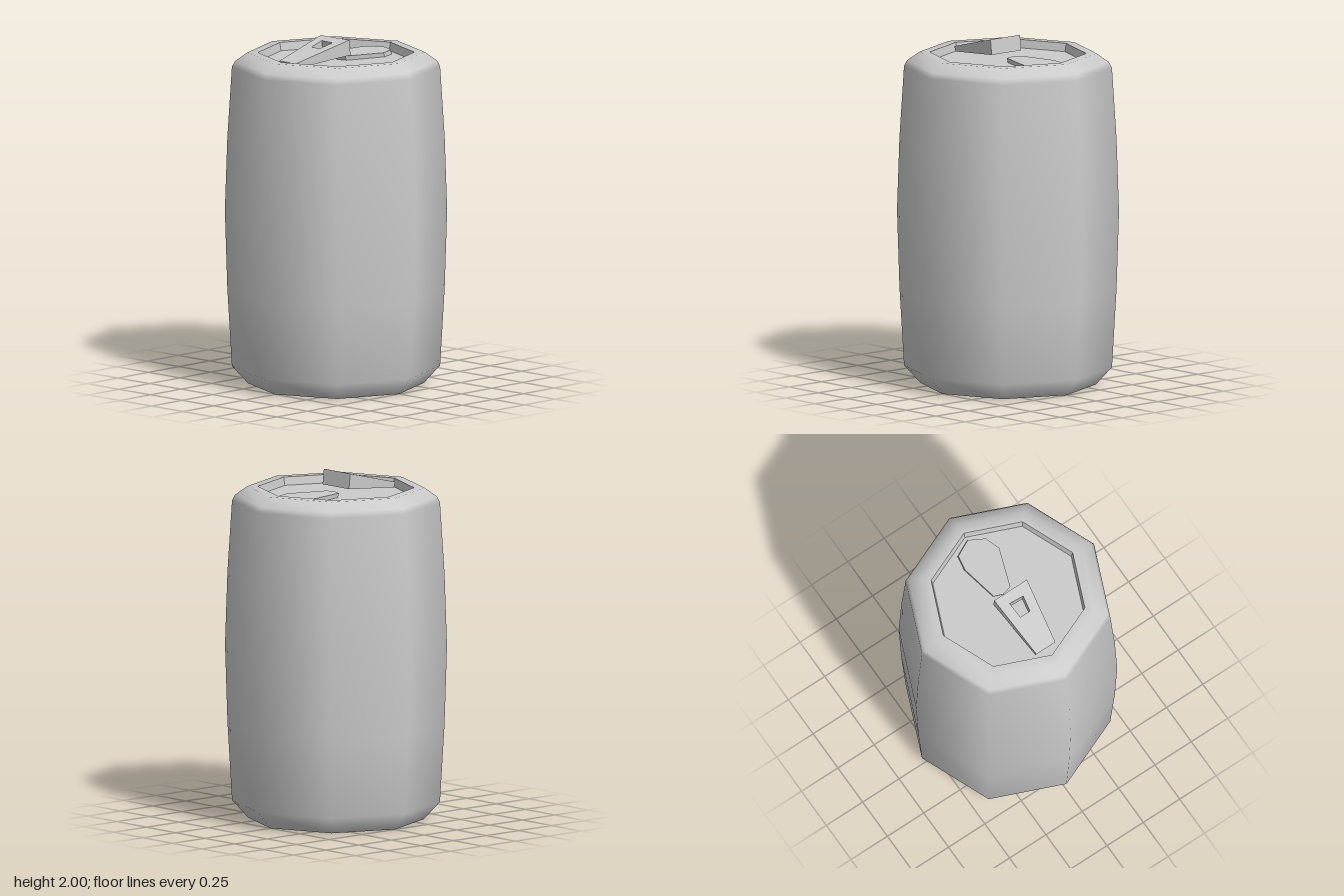
import * as THREE from 'three';

const smooth = new THREE.MeshStandardMaterial({ color: 0xcccccc });
const flat = new THREE.MeshStandardMaterial({ color: 0xcccccc, flatShading: true });

const toVectors = (points) => points.map(([a, b]) => new THREE.Vector2(a, b));

// Eight-sided turned part from [radius, height] points
function turned(name, profile, material) {
  const mesh = new THREE.Mesh(new THREE.LatheGeometry(toVectors(profile), 8), material);
  mesh.name = name;
  return mesh;
}

// Horizontal plate from [x, z] outlines; bottom and top are heights as functions of x
function plate(name, outline, bottom, top, hole) {
  const flip = (points) => toVectors(points.map(([x, z]) => [x, -z]));
  const shape = new THREE.Shape(flip(outline));
  if (hole) shape.holes.push(new THREE.Path(flip(hole)));
  const geometry = new THREE.ExtrudeGeometry(shape, { depth: 1, bevelEnabled: false });
  geometry.rotateX(-Math.PI / 2);
  const p = geometry.attributes.position;
  for (let i = 0; i < p.count; i++) {
    const x = p.getX(i);
    p.setY(i, p.getY(i) > 0.5 ? top(x) : bottom(x));
    // The upper side leans back slightly
    if (p.getY(i) > bottom(x) + 0.001) p.setX(i, x - 0.01);
  }
  geometry.computeVertexNormals();
  const mesh = new THREE.Mesh(geometry, flat);
  mesh.name = name;
  return mesh;
}

export function createModel() {
  const group = new THREE.Group();
  group.name = 'drinkCan';

  // Bulging wall with a chamfered foot and rounded shoulder
  group.add(turned('body', [
    [0.5, 0], [0.592, 0.1], [0.618, 0.55], [0.632, 1], [0.618, 1.42],
    [0.592, 1.83], [0.575, 1.862], [0.505, 1.912], [0.445, 1.912],
  ], smooth));

  // Sunken lid and sunken base
  group.add(turned('lid', [[0.445, 1.912], [0.435, 1.865], [0, 1.865]], flat));
  group.add(turned('base', [[0, 0.05], [0.43, 0.05], [0.44, 0], [0.5, 0]], flat));

  // Wedge-shaped pull tab with a finger hole
  const slope = (y0, y1) => (x) => y0 + (y1 - y0) * (x + 0.38) / 0.375;
  group.add(plate('pullTab',
    [[-0.38, -0.07], [-0.38, 0.06], [-0.005, 0.12], [-0.005, -0.105]],
    slope(1.875, 1.912), slope(1.905, 2),
    [[-0.16, -0.03], [-0.065, -0.04], [-0.07, 0.05], [-0.16, 0.035]]));

  // Raised mouth panel
  group.add(plate('mouthPanel',
    [[0.03, -0.015], [0.05, -0.07], [0.275, -0.115], [0.365, -0.1], [0.415, 0],
      [0.365, 0.09], [0.275, 0.12], [0.045, 0.04]],
    () => 1.86, () => 1.89));

  return group;
}
